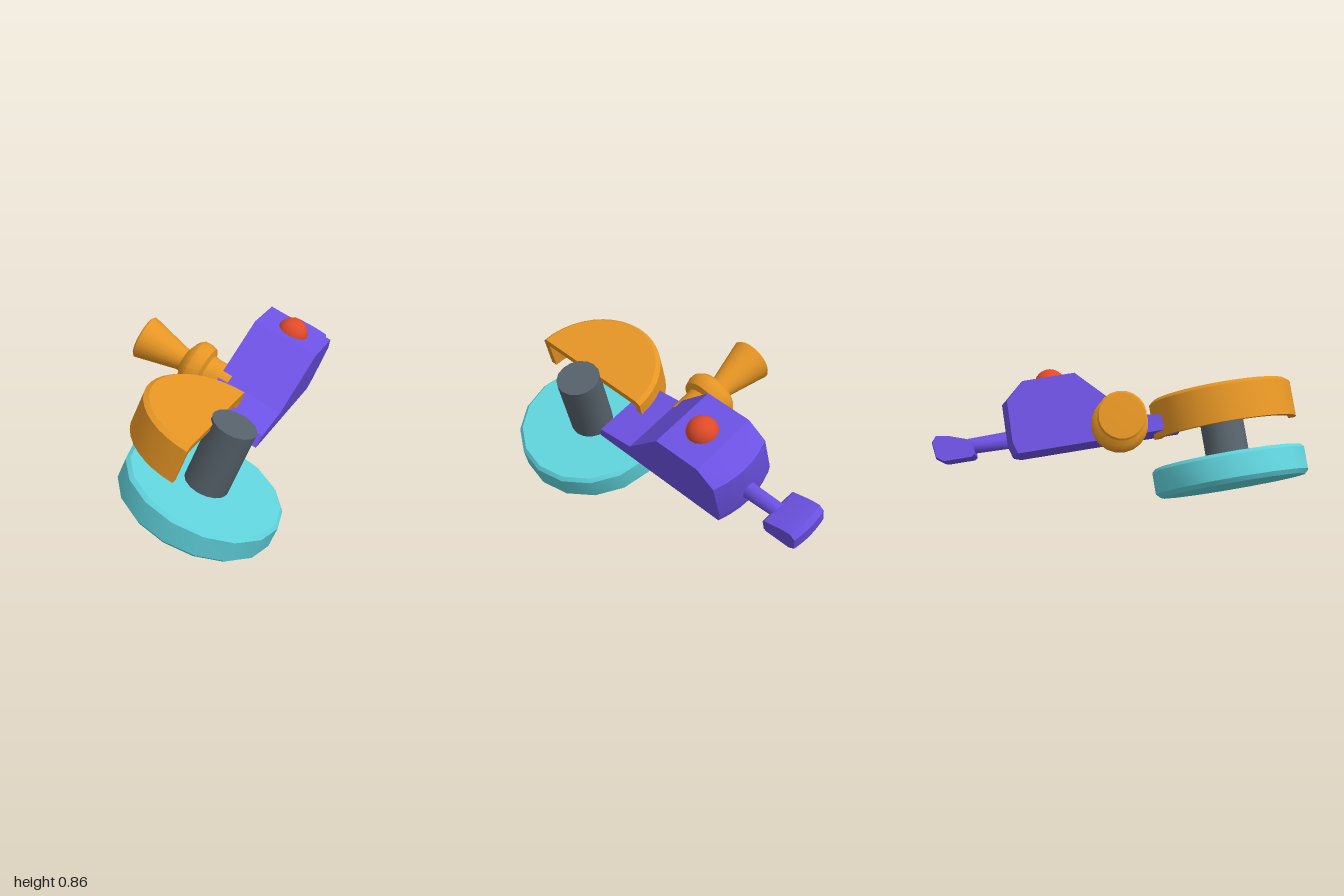
import * as THREE from 'three';
import { toCreasedNormals } from 'three/addons/utils/BufferGeometryUtils.js';

const paint = (name, color) => {
  const m = new THREE.MeshStandardMaterial({ color });
  m.name = name;
  return m;
};
const vec2 = (pts) => pts.map(([x, y]) => new THREE.Vector2(x, y));

export function createModel() {
  const purple = paint('purple', 0x6d52e4);
  const orange = paint('orange', 0xe59524);
  const teal = paint('teal', 0x60d3dc);
  const grey = paint('slate grey', 0x56616a);
  const red = paint('red', 0xe04a29);

  // Tool built upright: disc axis on y, body running towards -z
  const tool = new THREE.Group();
  tool.name = 'tool';
  const add = (name, geometry, material, x = 0, y = 0, z = 0) => {
    const mesh = new THREE.Mesh(geometry, material);
    mesh.name = name;
    mesh.position.set(x, y, z);
    tool.add(mesh);
    return mesh;
  };
  const lathe = (pts, sides, crease = 0.6, start = 0, length = Math.PI * 2) =>
    toCreasedNormals(new THREE.LatheGeometry(vec2(pts), sides, start, length), crease);

  // Side profile (distance backwards, height) extruded across the width
  const slab = (pts, width, bulge = 0, bulgeFrom = 0) => {
    const g = new THREE.ExtrudeGeometry(new THREE.Shape(vec2(pts)), {
      depth: width, steps: 6, bevelEnabled: false,
    });
    const p = g.attributes.position;
    for (let i = 0; i < p.count; i++) {
      const t = (2 * p.getZ(i)) / width - 1;
      if (p.getX(i) > bulgeFrom) p.setX(i, p.getX(i) + bulge * (1 - t * t));
    }
    g.translate(0, 0, -width / 2).rotateY(Math.PI / 2);
    return toCreasedNormals(g, 0.35);
  };

  // Disc and spindle
  add('disc', lathe([[0, 0], [0.425, 0], [0.45, 0.025], [0.45, 0.15], [0.43, 0.17], [0, 0.17]], 16), teal);
  add('spindle', toCreasedNormals(new THREE.CylinderGeometry(0.127, 0.127, 0.42, 16), 0.6), grey, 0, 0.356, 0);

  // Half-round guard: swept wall and top, closed by a flat cut face
  const section = [[0, 0.505], [0.37, 0.505], [0.37, 0.33], [0.41, 0.33], [0.41, 0.53], [0.385, 0.55], [0, 0.55]];
  add('guard', lathe(section, 20, 0.6, Math.PI, Math.PI), orange, -0.09);
  const half = section.slice(1, -1);
  const outline = [...half, ...half.map(([r, y]) => [-r, y]).reverse()];
  add('guardCutFace', new THREE.ShapeGeometry(new THREE.Shape(vec2(outline))).rotateY(Math.PI / 2), orange, -0.09);

  // Body with low nose, sloped front and rounded back
  const mid = -0.08;
  add('body', slab([
    [0.255, 0.36], [1.185, 0.36], [1.205, 0.43], [1.2, 0.66], [1.1, 0.757],
    [0.805, 0.757], [0.53, 0.475], [0.28, 0.43],
  ], 0.4, 0.04, 1.15), purple, mid);

  // Neck and tail block
  const neck = new THREE.CylinderGeometry(0.05, 0.045, 0.26, 8).rotateX(Math.PI / 2);
  add('neck', toCreasedNormals(neck, 0.9), purple, mid, 0.465, -1.33);
  add('tailBlock', slab([
    [1.43, 0.405], [1.445, 0.392], [1.6, 0.392], [1.64, 0.42], [1.65, 0.51], [1.625, 0.54],
    [1.56, 0.53], [1.445, 0.49], [1.43, 0.475],
  ], 0.23, 0.012, 1.6), purple, mid - 0.01);

  // Domed button
  add('button', new THREE.SphereGeometry(0.09, 20, 14), red, mid, 0.742, -0.95);

  // Flared side handle with a collar
  const handle = add('sideHandle', lathe([
    [0, 0.22], [0.105, 0.22], [0.105, 0.35], [0.11, 0.37], [0.145, 0.385], [0.157, 0.42], [0.155, 0.46],
    [0.13, 0.49], [0.068, 0.52], [0.07, 0.54], [0.13, 0.785], [0.12, 0.795], [0, 0.8],
  ], 20, 0.7), orange, 0, 0.415, -0.61);
  handle.rotation.z = Math.PI / 2;

  // Lay the tool in its tilted resting pose
  const up = new THREE.Vector3(0.38, 0.924, 0.035).normalize();
  const front = new THREE.Vector3(-0.427, 0.142, 0.893);
  const side = new THREE.Vector3().crossVectors(up, front).normalize();
  front.crossVectors(side, up);
  tool.applyMatrix4(new THREE.Matrix4().makeBasis(side, up, front).setPosition(-0.245, 0.175, 0.55));

  const model = new THREE.Group();
  model.name = 'model';
  model.add(tool);
  return model;
}
